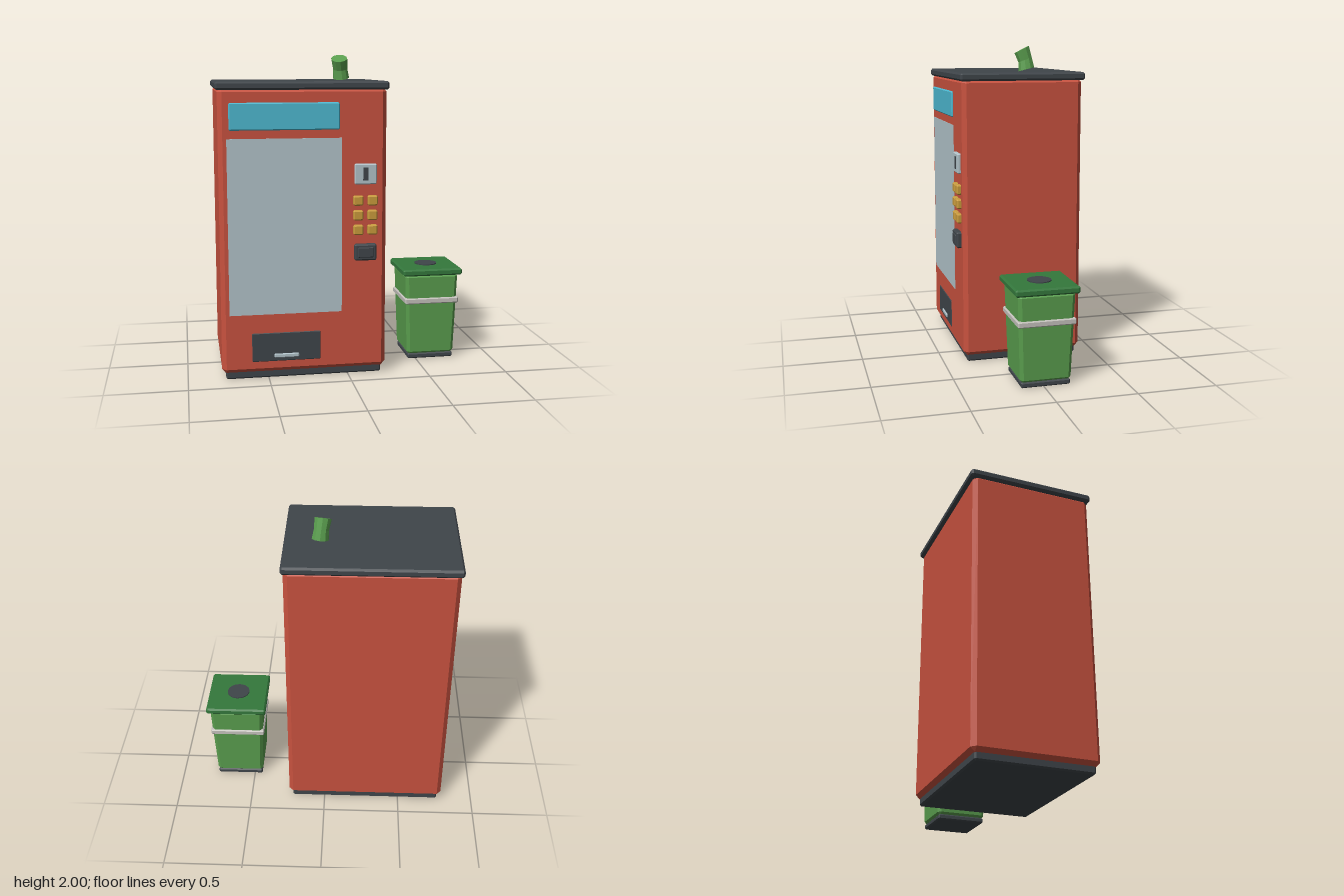
import * as THREE from 'three';
import { ConvexGeometry } from 'three/addons/geometries/ConvexGeometry.js';

const mat = (name, color) => {
  const m = new THREE.MeshStandardMaterial({ color });
  m.name = name;
  return m;
};

// Box with chamfered edges; the bottom may be narrower than the top
function chamferBox(w, h, d, c, taper = 1) {
  const pts = [];
  for (const sx of [-1, 1]) for (const sy of [-1, 1]) for (const sz of [-1, 1]) {
    const k = sy < 0 ? taper : 1;
    const x = w / 2, y = h / 2, z = d / 2;
    for (const [a, b, e] of [[0, c, c], [c, 0, c], [c, c, 0]]) {
      pts.push(new THREE.Vector3(sx * (x * k - a), sy * (y - b), sz * (z * k - e)));
    }
  }
  return new ConvexGeometry(pts);
}

export function createModel() {
  const root = new THREE.Group();
  root.name = 'vendingMachineAndBin';

  const red = mat('red paint', 0xc8523f);
  const charcoal = mat('charcoal', 0x3f454a);
  const glass = mat('pale glass', 0xb2c3ca);
  const cyan = mat('cyan sign', 0x4db8d0);
  const gold = mat('gold buttons', 0xc99b3c);
  const green = mat('green', 0x5a9e4e);
  const darkGreen = mat('dark green', 0x34783c);
  const silver = mat('silver band', 0xc4c1bc);

  const add = (parent, name, geometry, material, x, y, z) => {
    const mesh = new THREE.Mesh(geometry, material);
    mesh.name = name;
    mesh.position.set(x, y, z);
    parent.add(mesh);
    return mesh;
  };
  // Chamfered block given by its limits on each axis
  const block = (parent, name, material, x0, x1, y0, y1, z0, z1, c, taper) =>
    add(parent, name, chamferBox(x1 - x0, y1 - y0, z1 - z0, c, taper), material,
      (x0 + x1) / 2, (y0 + y1) / 2, (z0 + z1) / 2);
  // Thin plain plate on the machine front
  const plate = (parent, name, material, x0, x1, y0, y1, z, t) =>
    add(parent, name, new THREE.BoxGeometry(x1 - x0, y1 - y0, t), material,
      (x0 + x1) / 2, (y0 + y1) / 2, z - t / 2);

  // Cabinet
  const machine = new THREE.Group();
  machine.name = 'vendingMachine';
  root.add(machine);
  block(machine, 'cabinet', red, -0.79, 0.24, 0.043, 1.805, -0.395, 0.375, 0.027);
  block(machine, 'plinth', charcoal, -0.765, 0.215, 0, 0.055, -0.37, 0.35, 0.01);
  block(machine, 'roof', charcoal, -0.803, 0.253, 1.79, 1.84, -0.412, 0.387, 0.012);

  // Front panels
  block(machine, 'sign', cyan, -0.725, -0.055, 1.55, 1.715, 0.355, 0.385, 0.007);
  plate(machine, 'window', glass, -0.74, -0.042, 0.415, 1.5, 0.378, 0.008);
  block(machine, 'deliveryFlap', charcoal, -0.61, -0.17, 0.108, 0.302, 0.35, 0.379, 0.01);
  block(machine, 'flapHandle', glass, -0.467, -0.312, 0.136, 0.162, 0.365, 0.386, 0.005);

  // Coin slot, keypad and card reader
  block(machine, 'coinPanel', glass, 0.036, 0.174, 1.213, 1.34, 0.36, 0.395, 0.007);
  plate(machine, 'coinSlot', charcoal, 0.088, 0.12, 1.238, 1.318, 0.397, 0.006);
  for (const y of [1.113, 1.022, 0.93]) for (const x of [0.06, 0.149]) {
    block(machine, 'button', gold, x - 0.031, x + 0.031, y - 0.031, y + 0.031, 0.36, 0.402, 0.008);
  }
  block(machine, 'cardReader', charcoal, 0.035, 0.175, 0.738, 0.842, 0.36, 0.405, 0.01);
  block(machine, 'readerPad', charcoal, 0.055, 0.155, 0.757, 0.823, 0.39, 0.41, 0.006);

  // Litter bin
  const bin = new THREE.Group();
  bin.name = 'litterBin';
  bin.position.set(0.6, 0, -0.012);
  root.add(bin);
  block(bin, 'binFoot', charcoal, -0.153, 0.153, 0, 0.035, -0.153, 0.153, 0.008);
  block(bin, 'binBody', green, -0.176, 0.176, 0.028, 0.577, -0.176, 0.176, 0.02, 0.9);
  block(bin, 'binBand', silver, -0.18, 0.18, 0.378, 0.417, -0.18, 0.18, 0.007);
  block(bin, 'binLid', darkGreen, -0.198, 0.198, 0.57, 0.614, -0.198, 0.198, 0.01);
  add(bin, 'binOpening', new THREE.CylinderGeometry(0.075, 0.075, 0.01, 12), charcoal, 0, 0.615, 0);

  // Crushed can: three rings, each with its own centre, tilt and radius
  const rings = [
    { c: [0.017, 1.978, -0.061], r: 0.053, tilt: 0.46 },
    { c: [0.027, 1.913, -0.081], r: 0.047, tilt: 0.33 },
    { c: [0.034, 1.853, -0.088], r: 0.053, tilt: 0.24 },
  ];
  const can = new THREE.CylinderGeometry(1, 1, 2, 10, 2);
  const p = can.attributes.position;
  const v = new THREE.Vector3();
  for (let i = 0; i < p.count; i++) {
    v.fromBufferAttribute(p, i);
    const ring = rings[1 - Math.round(v.y)];
    v.set(v.x * ring.r, 0, v.z * ring.r)
      .applyEuler(new THREE.Euler(ring.tilt, 0, 0.1))
      .add(new THREE.Vector3(...ring.c));
    p.setXYZ(i, v.x, v.y, v.z);
  }
  const canGeometry = can.toNonIndexed();
  canGeometry.computeVertexNormals();
  add(root, 'crushedCan', canGeometry, green, 0, 0, 0);

  return root;
}
